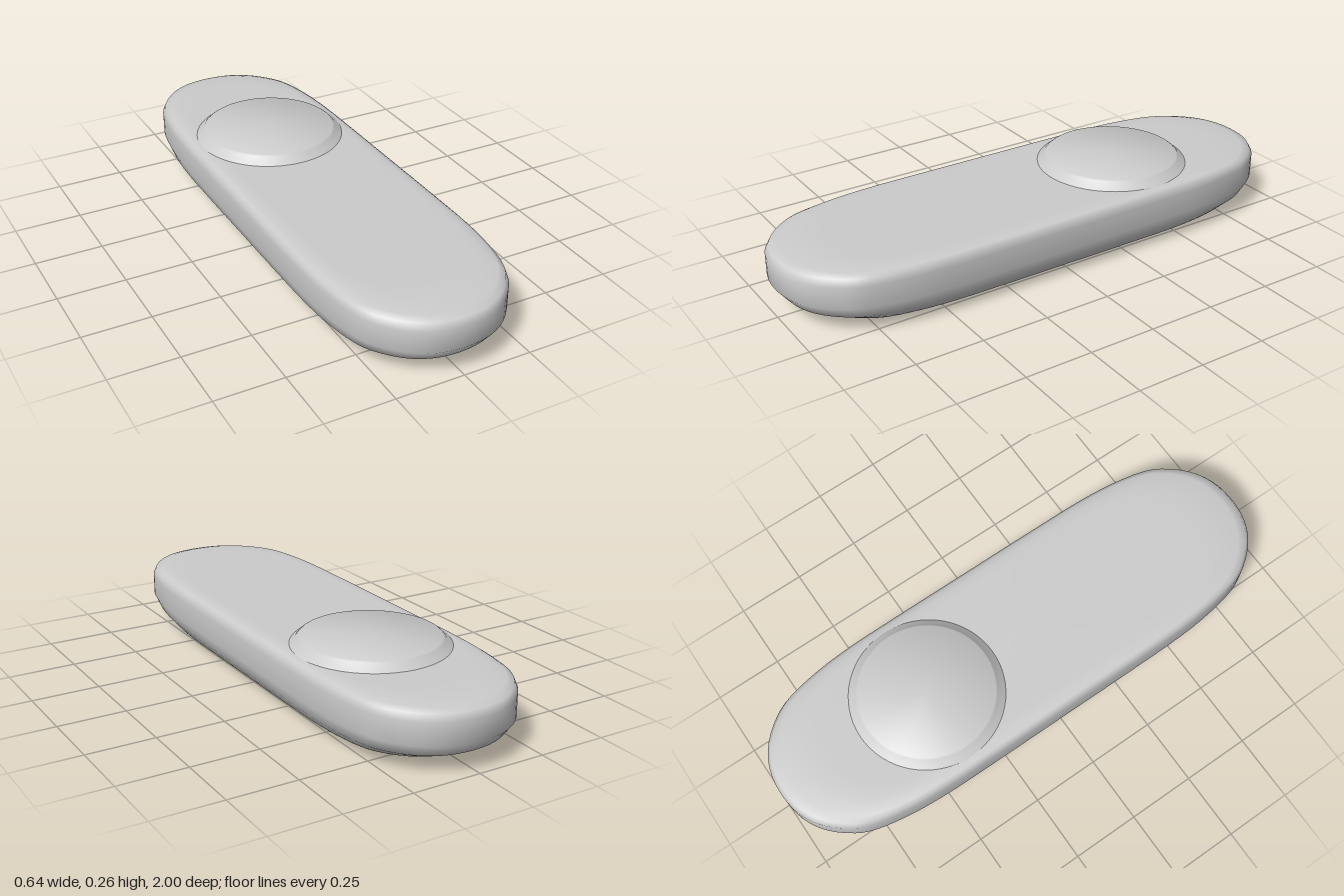
import * as THREE from 'three';
import { toCreasedNormals } from 'three/addons/utils/BufferGeometryUtils.js';

const material = new THREE.MeshStandardMaterial({ color: 0xcccccc });

// Rounded plan outline, one quarter mirrored to a full loop (x, z)
function planOutline() {
  const quarter = [[0, 1], [0.1, 0.985], [0.18, 0.94], [0.25, 0.86], [0.28, 0.795],
    [0.305, 0.67], [0.317, 0.53], [0.32, 0.3]];
  const half = [...quarter, [0.32, 0], ...quarter.slice().reverse().map(([x, z]) => [x, -z])];
  const loop = [...half, ...half.slice(1, -1).reverse().map(([x, z]) => [-x, z])];
  const curve = new THREE.CatmullRomCurve3(loop.map(([x, z]) => new THREE.Vector3(x, 0, z)), true);
  return curve.getPoints(96).slice(0, 96);
}

// Stack scaled copies of the outline: [height, half width, half length]
function stackedShell(outline, layers) {
  const n = outline.length, positions = [], index = [];
  for (const [y, w, l] of layers) {
    for (const p of outline) positions.push(p.x * w / 0.32, y, p.z * l);
  }
  for (let i = 0; i < layers.length - 1; i++) {
    for (let j = 0; j < n; j++) {
      const k = (j + 1) % n;
      const a = i * n + j, b = i * n + k, c = a + n, d = b + n;
      if (layers[i][1] > 0) index.push(a, b, c);
      if (layers[i + 1][1] > 0) index.push(b, d, c);
      else if (layers[i][1] === 0) index.push(b, d, c);
    }
  }
  const geometry = new THREE.BufferGeometry();
  geometry.setAttribute('position', new THREE.Float32BufferAttribute(positions, 3));
  geometry.setIndex(index);
  geometry.computeVertexNormals();
  return geometry;
}

export function createModel() {
  const group = new THREE.Group();

  // Long pill-shaped body with a bevelled underside and a softened top rim
  const body = new THREE.Mesh(stackedShell(planOutline(), [
    [0, 0, 0], [0, 0.17, 0.54], [0, 0.2, 0.6], [0.03, 0.28, 0.89], [0.065, 0.305, 0.965],
    [0.11, 0.32, 1], [0.19, 0.32, 1], [0.215, 0.314, 0.985], [0.224, 0.302, 0.95],
    [0.23, 0.28, 0.86], [0.23, 0.25, 0.8], [0.23, 0, 0],
  ]), material);
  body.name = 'body';
  group.add(body);

  // Low round button with a flared base
  const profile = [[0.285, 0.225], [0.279, 0.232], [0.266, 0.239], [0.252, 0.256],
    [0.245, 0.261], [0, 0.261]].map(([r, y]) => new THREE.Vector2(r, y));
  const button = new THREE.Mesh(toCreasedNormals(new THREE.LatheGeometry(profile, 64), 0.7), material);
  button.name = 'button';
  button.position.z = -0.383;
  group.add(button);

  return group;
}
